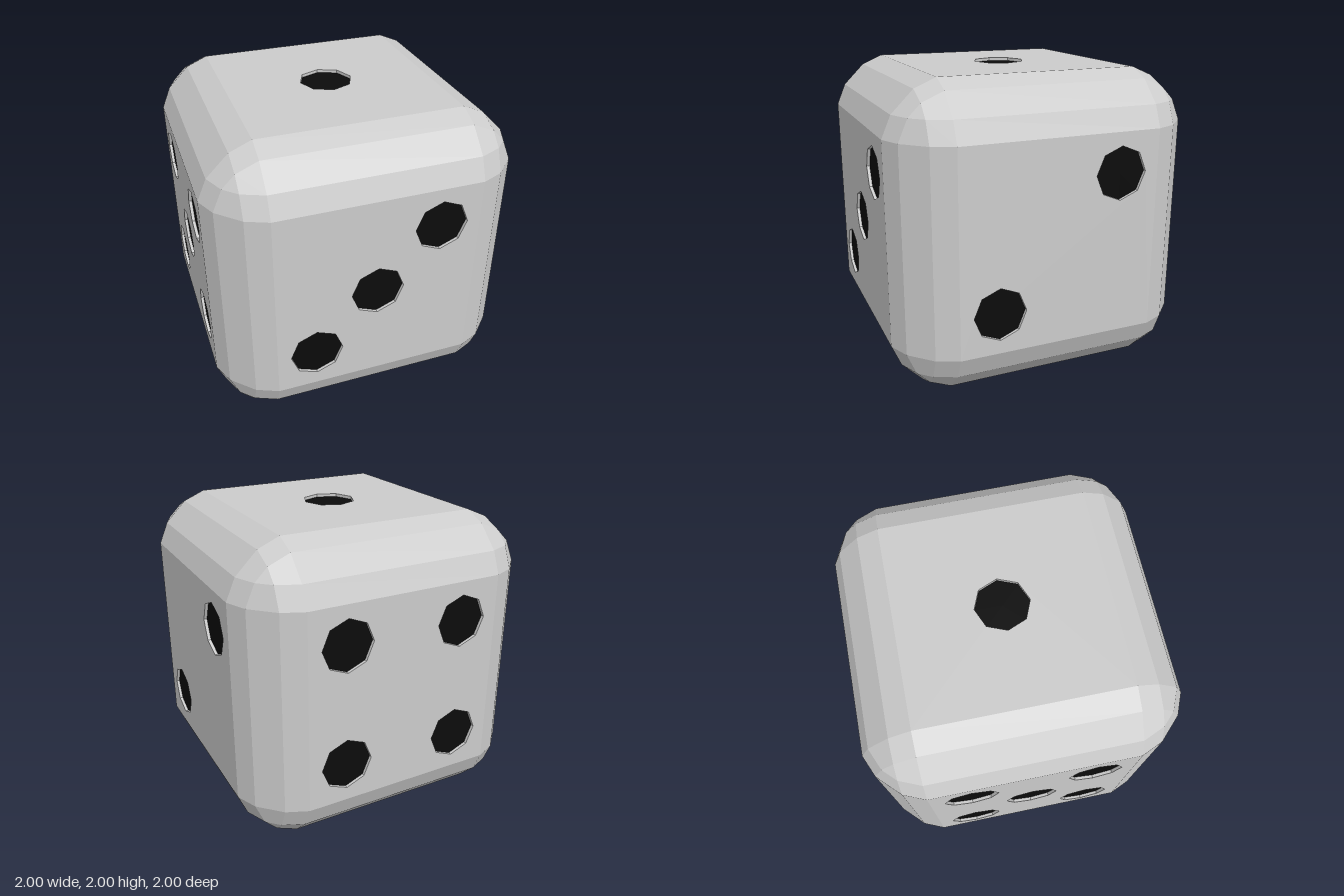
import * as THREE from 'three';

const FLAT = 0.66;          // half width of the flat part of each face
const PIP_R = 0.172, PIP_DEPTH = 0.02;
const PROFILE = [[0.66, 1], [0.8, 0.94], [0.94, 0.8], [1, 0.66]]; // bevel section

const grey = new THREE.MeshStandardMaterial({ color: 0xcccccc, flatShading: true });
const greyInside = new THREE.MeshStandardMaterial({ color: 0xcccccc, flatShading: true, side: THREE.BackSide });
const black = new THREE.MeshStandardMaterial({ color: 0x0b0b0b });

// Geometry from convex polygons, each turned to face away from the centre
function polygonsToGeometry(polygons) {
  const positions = [];
  for (const poly of polygons) {
    const p = poly.map((c) => new THREE.Vector3(...c));
    const normal = p[1].clone().sub(p[0]).cross(p[2].clone().sub(p[0]));
    if (normal.dot(p[0]) < 0) p.reverse();
    for (let i = 1; i < p.length - 1; i++) {
      for (const v of [p[0], p[i], p[i + 1]]) positions.push(v.x, v.y, v.z);
    }
  }
  const geometry = new THREE.BufferGeometry();
  geometry.setAttribute('position', new THREE.Float32BufferAttribute(positions, 3));
  geometry.computeVertexNormals();
  return geometry;
}

// Put (u, v, w) on the axes following axis k
function onAxis(k, u, v, w) {
  const p = [0, 0, 0];
  p[k] = w;
  p[(k + 1) % 3] = u;
  p[(k + 2) % 3] = v;
  return p;
}

function edgePolygons() {
  const polygons = [];
  for (let k = 0; k < 3; k++) for (const su of [-1, 1]) for (const sv of [-1, 1]) {
    for (let i = 0; i < 3; i++) {
      const [a, b] = [PROFILE[i], PROFILE[i + 1]];
      polygons.push([
        onAxis(k, su * a[0], sv * a[1], -FLAT), onAxis(k, su * b[0], sv * b[1], -FLAT),
        onAxis(k, su * b[0], sv * b[1], FLAT), onAxis(k, su * a[0], sv * a[1], FLAT),
      ]);
    }
  }
  return polygons;
}

// Each corner: three kites, three side quads and a central triangle
function cornerPolygons() {
  const polygons = [];
  const inner = (k) => onAxis(k, 0.8, 0.8, 0.88);
  const corner = [[0, 1, 2].map(inner)];
  for (let k = 0; k < 3; k++) {
    const nearU = onAxis(k, 0.8, FLAT, 0.94), nearV = onAxis(k, FLAT, 0.8, 0.94);
    corner.push([onAxis(k, FLAT, FLAT, 1), nearU, inner(k), nearV]);
    corner.push([nearU, onAxis(k, 0.94, FLAT, 0.8), inner((k + 1) % 3), inner(k)]);
  }
  for (const sx of [-1, 1]) for (const sy of [-1, 1]) for (const sz of [-1, 1]) {
    for (const poly of corner) polygons.push(poly.map(([x, y, z]) => [sx * x, sy * y, sz * z]));
  }
  return polygons;
}

// One flat face pierced by recessed octagonal pips, facing +z
function createFace(name, pips) {
  const face = new THREE.Group();
  face.name = name;
  const shape = new THREE.Shape([[-1, -1], [1, -1], [1, 1], [-1, 1]]
    .map(([x, y]) => new THREE.Vector2(x * FLAT, y * FLAT)));
  const wallGeometry = new THREE.CylinderGeometry(PIP_R, PIP_R, PIP_DEPTH, 8, 1, true).rotateX(Math.PI / 2);
  const floorGeometry = new THREE.CircleGeometry(PIP_R, 8);
  for (const [u, v] of pips) {
    const outline = [];
    for (let i = 0; i < 8; i++) {
      const a = -i * Math.PI / 4;
      outline.push(new THREE.Vector2(u + PIP_R * Math.cos(a), v + PIP_R * Math.sin(a)));
    }
    shape.holes.push(new THREE.Path(outline));
    const wall = new THREE.Mesh(wallGeometry, greyInside);
    wall.name = 'pipWall';
    wall.position.set(u, v, 1 - PIP_DEPTH / 2);
    const floor = new THREE.Mesh(floorGeometry, black);
    floor.name = 'pip';
    floor.position.set(u, v, 1 - PIP_DEPTH);
    face.add(wall, floor);
  }
  const panel = new THREE.Mesh(new THREE.ShapeGeometry(shape), grey);
  panel.name = 'facePanel';
  panel.position.z = 1;
  face.add(panel);
  return face;
}

export function createModel() {
  const die = new THREE.Group();
  die.name = 'die';
  const body = new THREE.Group();
  body.name = 'body';
  body.position.y = 1;
  die.add(body);

  const edges = new THREE.Mesh(polygonsToGeometry(edgePolygons()), grey);
  edges.name = 'bevelledEdges';
  const corners = new THREE.Mesh(polygonsToGeometry(cornerPolygons()), grey);
  corners.name = 'bevelledCorners';
  body.add(edges, corners);

  // Pip layouts
  const d = 0.4, q = Math.PI / 2;
  const two = [[d, d], [-d, -d]];
  const four = [...two, [d, -d], [-d, d]];
  const six = [-0.42, 0, 0.42].flatMap((v) => [[-0.3, v], [0.3, v]]);
  const faces = [
    ['frontFace', [...two, [0, 0]], 0, 0],
    ['backFace', four, 0, 2 * q],
    ['rightFace', two, 0, q],
    ['leftFace', [...four, [0, 0]], 0, -q],
    ['topFace', [[0, 0]], -q, 0],
    ['bottomFace', six, q, 0],
  ];
  for (const [name, pips, rx, ry] of faces) {
    const face = createFace(name, pips);
    face.rotation.set(rx, ry, 0);
    body.add(face);
  }
  return die;
}
